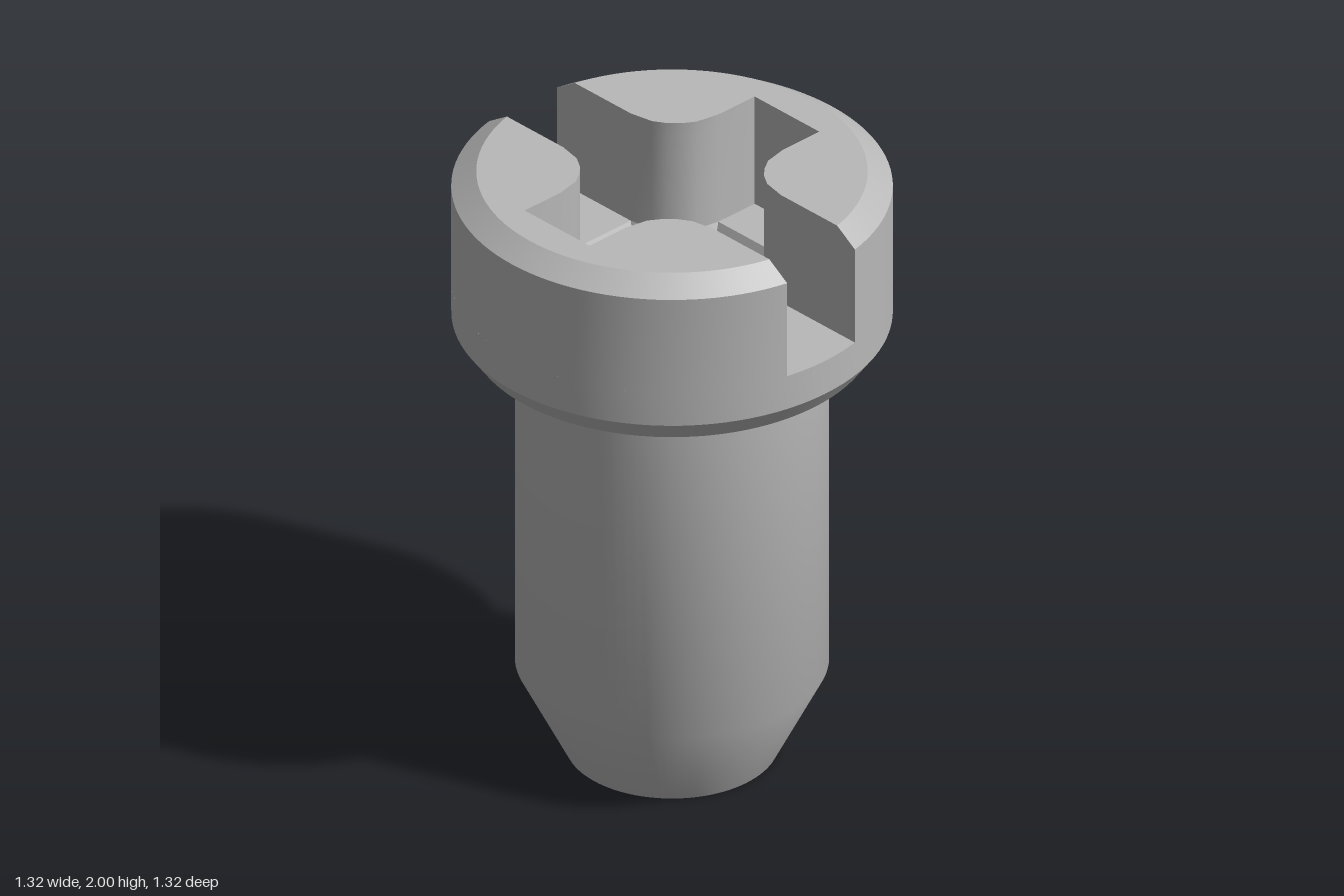
import * as THREE from 'three';
import { toCreasedNormals } from 'three/addons/utils/BufferGeometryUtils.js';

const R = 0.66, FLOOR = 1.625, SLOT = 0.14, CREASE = 0.55, SEG = 96;

// rounded inner corner of the cross, in the +x +z quadrant, as [x, z]
const corner = [[0.325, 0.14], [0.25, 0.155], [0.21, 0.18], [0.18, 0.21], [0.155, 0.25], [0.14, 0.325]];

// walls between matching closed loops of [x, y, z]
function loft(rings) {
  const pos = [];
  for (let k = 0; k < rings.length - 1; k++) {
    const lo = rings[k], hi = rings[k + 1], n = lo.length;
    for (let i = 0; i < n; i++) {
      const j = (i + 1) % n;
      pos.push(...lo[i], ...hi[i], ...lo[j], ...lo[j], ...hi[i], ...hi[j]);
    }
  }
  const g = new THREE.BufferGeometry();
  g.setAttribute('position', new THREE.Float32BufferAttribute(pos, 3));
  return toCreasedNormals(g, CREASE);
}

const atHeight = (loop, y) => loop.map(([x, z]) => [x, y, z]);
const toVectors = (loop) => loop.map(([x, z]) => new THREE.Vector2(x, z));

// flat upward face from a loop that is symmetric in z
function flatFace(loop, y, hole) {
  const shape = new THREE.Shape(toVectors(loop));
  if (hole) shape.holes.push(new THREE.Path(toVectors(hole)));
  return new THREE.ShapeGeometry(shape).rotateX(-Math.PI / 2).translate(0, y, 0);
}

// outline of the right half of the slotted head
function halfOutline(radius) {
  const a = Math.acos(SLOT / radius), n = 48, loop = [];
  for (let i = 0; i <= n; i++) {
    const t = -a + (2 * a * i) / n;
    loop.push([radius * Math.cos(t), radius * Math.sin(t)]);
  }
  loop.push(...[...corner].reverse(), [0.475, SLOT], [0.475, -SLOT]);
  loop.push(...corner.map(([x, z]) => [x, -z]));
  return loop;
}

export function createModel() {
  const model = new THREE.Group();
  const steel = new THREE.MeshStandardMaterial({ color: 0xb8b8b8 });
  steel.name = 'grey steel';
  const add = (parent, name, geometry) => {
    const mesh = new THREE.Mesh(geometry, steel);
    mesh.name = name;
    parent.add(mesh);
    return mesh;
  };

  // shank with tapered tip and the lower, chamfered part of the head
  const profile = [[0, 0], [0.32, 0], [0.47, 0.3], [0.47, 1.44], [0.61, 1.44], [R, 1.51], [R, FLOOR]];
  add(model, 'shankAndHeadBase', toCreasedNormals(new THREE.LatheGeometry(toVectors(profile), SEG), CREASE));

  // cross pocket outline and its small diamond bottom
  const mouth = [], diamond = [];
  for (let q = 0; q < 4; q++) {
    const c = Math.round(Math.cos(q * Math.PI / 2)), s = Math.round(Math.sin(q * Math.PI / 2));
    const turn = ([x, z]) => [c * x - s * z, s * x + c * z];
    corner.forEach((p, i) => {
      const t = i / (corner.length - 1);
      mouth.push(turn(p));
      diamond.push(turn([0.09 * (1 - t), 0.09 * t]));
    });
  }
  const depth = 1.22;
  add(model, 'pocketWalls', loft([atHeight(mouth, FLOOR), atHeight(diamond, depth)]));
  add(model, 'pocketBottom', flatFace([[0.09, 0], [0, 0.09], [-0.09, 0], [0, -0.09]], depth));

  // slot floor around the pocket
  const circle = Array.from({ length: SEG }, (_, i) => {
    const t = (i / SEG) * Math.PI * 2;
    return [R * Math.cos(t), R * Math.sin(t)];
  });
  add(model, 'slotFloor', flatFace(circle, FLOOR, mouth));

  // two mirrored head halves, with a chamfered upper rim
  const side = halfOutline(R), top = halfOutline(0.585);
  const walls = loft([atHeight(side, FLOOR), atHeight(side, 1.95), atHeight(top, 2)]);
  const cap = flatFace(top, 2);
  ['leftHeadHalf', 'rightHeadHalf'].forEach((name, i) => {
    const half = new THREE.Group();
    half.name = name;
    half.rotation.y = i * Math.PI;
    add(half, 'headWalls', walls);
    add(half, 'headTop', cap);
    model.add(half);
  });

  return model;
}
